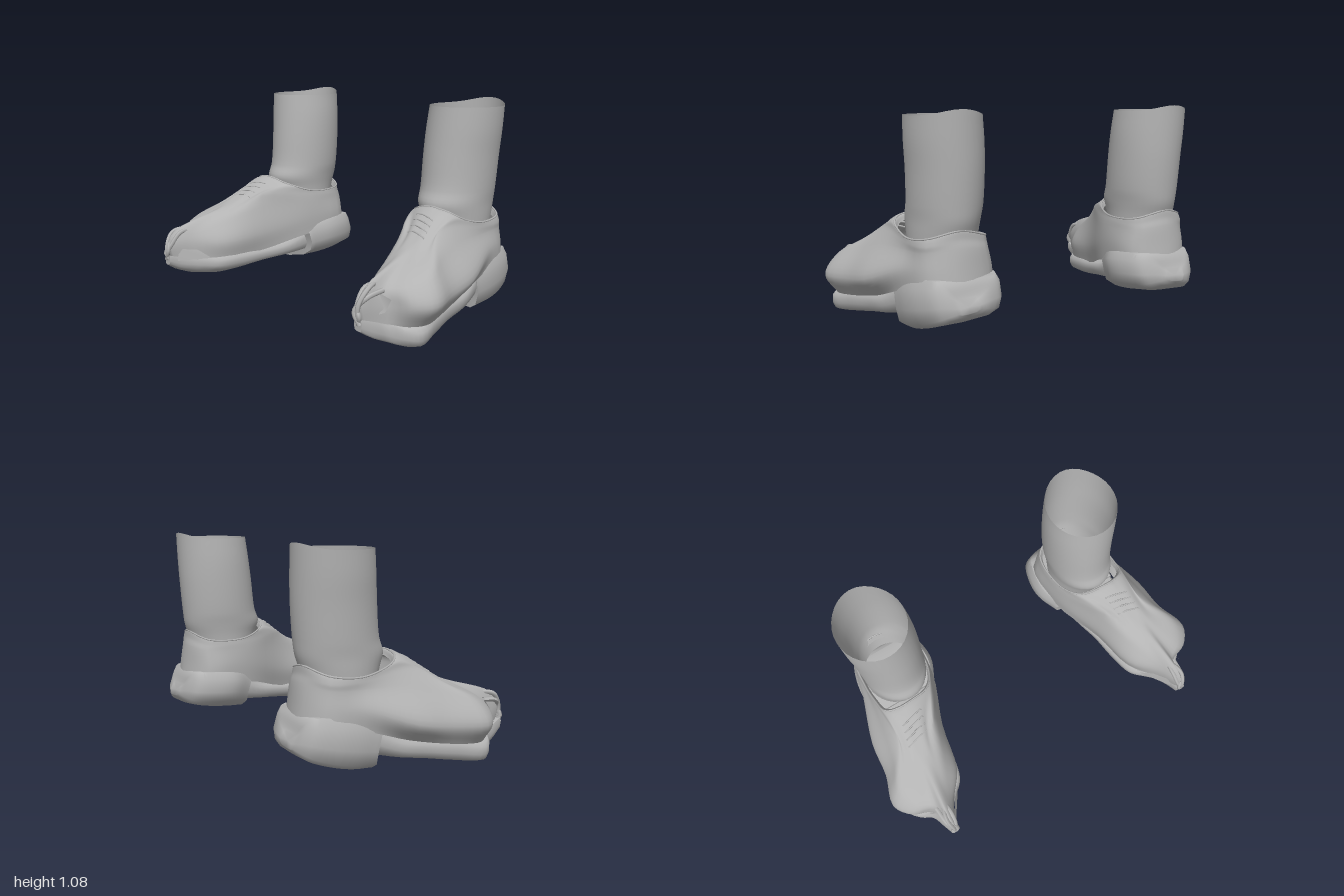
import * as THREE from 'three';
import { toCreasedNormals } from 'three/addons/utils/BufferGeometryUtils.js';

const V = (p) => new THREE.Vector3(...p);
const spline = (pts, closed = false) => new THREE.CatmullRomCurve3(pts, closed, 'centripetal');

// Skin a stack of closed rings, optionally smoothed along the stack and capped
function skin(rings, steps, caps = false) {
  const count = rings[0].length;
  const columns = rings[0].map((_, j) => spline(rings.map((r) => r[j])).getPoints(steps));
  const pos = [], idx = [];
  for (let i = 0; i <= steps; i++) columns.forEach((c) => pos.push(c[i].x, c[i].y, c[i].z));
  for (let i = 0; i < steps; i++) for (let j = 0; j < count; j++) {
    const a = i * count + j, b = i * count + (j + 1) % count;
    idx.push(a, a + count, b, b, a + count, b + count);
  }
  if (caps) for (const row of [0, steps]) {
    const mid = new THREE.Vector3();
    columns.forEach((c) => mid.addScaledVector(c[row], 1 / count));
    const m = pos.push(mid.x, mid.y, mid.z) / 3 - 1;
    for (let j = 0; j < count; j++) {
      const a = row * count + j, b = row * count + (j + 1) % count;
      if (row) idx.push(m, b, a); else idx.push(m, a, b);
    }
  }
  const g = new THREE.BufferGeometry();
  g.setAttribute('position', new THREE.Float32BufferAttribute(pos, 3));
  g.setIndex(idx);
  g.computeVertexNormals();
  return g;
}

// Mirror across x, keeping faces outward
function mirrored(g) {
  const m = g.clone().scale(-1, 1, 1);
  const a = m.index.array;
  for (let i = 0; i < a.length; i += 3) [a[i + 1], a[i + 2]] = [a[i + 2], a[i + 1]];
  m.computeVertexNormals();
  return m;
}

// Rings of the upper: heel, outer side, toe, inner side
const BOTTOM = [[.62, .22, -.555], [.77, .22, -.49], [.82, .22, -.3], [.85, .15, -.06], [.9, .11, .16], [.93, .1, .3], [.89, .1, .38], [.82, .11, .44],
  [.77, .13, .565], [.7, .12, .45], [.6, .12, .3], [.55, .14, .06], [.43, .22, -.22], [.43, .22, -.48]];
const WIDEST = [[.62, .33, -.54], [.77, .33, -.48], [.83, .32, -.3], [.92, .24, -.06], [.945, .21, .13], [.995, .2, .3], [.93, .2, .395], [.82, .2, .44],
  [.77, .22, .585], [.7, .22, .45], [.59, .22, .31], [.53, .25, .06], [.425, .32, -.22], [.43, .33, -.47]];
const SHOULDER = [[.62, .44, -.525], [.77, .42, -.46], [.8, .41, -.28], [.835, .4, -.05], [.87, .365, .12], [.925, .325, .265], [.88, .285, .38], [.8, .275, .435],
  [.77, .295, .53], [.71, .28, .43], [.64, .33, .28], [.55, .4, .06], [.43, .41, -.22], [.45, .42, -.47]];
const INSTEP = [[.62, .48, -.515], [.77, .45, -.46], [.795, .45, -.28], [.79, .48, -.06], [.79, .465, .06], [.8, .415, .14], [.775, .41, .18], [.75, .407, .195],
  [.72, .407, .2], [.68, .415, .18], [.635, .435, .12], [.56, .475, .05], [.437, .46, -.22], [.452, .45, -.46]];
const COLLAR = [[.62, .52, -.51], [.76, .485, -.45], [.79, .47, -.3], [.785, .495, -.17], [.775, .52, -.11], [.75, .54, -.08], [.72, .55, -.068], [.69, .555, -.062],
  [.66, .56, -.06], [.6, .555, -.065], [.53, .535, -.08], [.475, .51, -.13], [.437, .475, -.25], [.455, .48, -.45]];

// Sole stations: z, inner x, outer x, bottom y inner/outer, top y inner/outer
const SOLE = [[-.25, .47, .81, .1, .1, .24, .24], [-.1, .5, .85, .085, .065, .17, .16], [.05, .54, .87, .07, .04, .145, .135],
  [.2, .56, .91, .055, .015, .14, .12], [.34, .595, .945, .05, 0, .13, .095], [.41, .66, .895, .055, .015, .13, .1],
  [.45, .7, .84, .06, .03, .13, .11], [.52, .735, .815, .075, .06, .14, .135], [.585, .75, .795, .105, .1, .155, .155]];
const HEEL = [[-.605, .57, .67, .16, .15, .22, .22], [-.585, .49, .73, .14, .125, .28, .275], [-.55, .425, .775, .125, .1, .3, .3],
  [-.45, .385, .815, .115, .065, .3, .295], [-.34, .38, .83, .11, .04, .285, .28], [-.225, .43, .825, .09, .03, .245, .245]];

// Padded slab with a rounded underside; lean pulls its upper edge forward
function slab(stations, steps, lean) {
  const rings = stations.map(([z, xi, xo, bi, bo, ti, to]) => {
    const w = xo - xi;
    return [
      [xo - .05 * w, to, z + lean], [xo, to - .2 * (to - bo), z + lean * .7], [xo, to - .6 * (to - bo), z], [xo - .04 * w, bo + .1 * (to - bo), z],
      [xo - .12 * w, bo, z], [xo - .45 * w, bo + .1 * (bi - bo), z], [xi + .2 * w, bo + .6 * (bi - bo), z], [xi + .04 * w, bi + .1 * (ti - bi), z],
      [xi, ti - .6 * (ti - bi), z], [xi, ti - .2 * (ti - bi), z + lean * .7], [xi + .05 * w, ti, z + lean],
    ].map(V);
  });
  return skin(rings, steps, true);
}

// Leg levels: y, centre x, centre z, radius x, radius z
const LEG = [[.42, .61, -.3, .165, .18], [.5, .61, -.3, .168, .205], [.56, .607, -.3, .172, .224], [.63, .605, -.317, .178, .215],
  [.8, .608, -.333, .184, .211], [.93, .616, -.342, .188, .206], [1.05, .625, -.35, .185, .2]];
function legGeometry() {
  return skin(LEG.map(([y, cx, cz, rx, rz], i) => Array.from({ length: 32 }, (_, j) => {
    const a = j / 32 * Math.PI * 2;
    const rise = i === LEG.length - 1 ? .03 * Math.max(0, Math.cos(a)) ** 4 : 0;
    return V([cx + rx * Math.sin(a), y + rise, cz - rz * Math.cos(a)]);
  })), 24);
}

const tube = (pts, r, n = 16, closed = false) => new THREE.TubeGeometry(spline(pts, closed), n, r, 6, closed);

// Thin torn scrap of leather
function scrap(points) {
  const g = new THREE.BufferGeometry().setFromPoints(points.map(V));
  g.setIndex([0, 1, 2, 0, 2, 3]);
  g.computeVertexNormals();
  return g;
}

export function createModel() {
  const model = new THREE.Group();
  const grey = new THREE.MeshStandardMaterial({ color: 0xb3b3b3, side: THREE.DoubleSide });
  grey.name = 'plain grey';
  const parts = [];
  const add = (name, geometry, crease = 0) => parts.push({ name, geometry, crease });

  // Upper, with the lip turned in at the collar
  const collar = COLLAR.map(V);
  const lip = collar.map((p) => new THREE.Vector3(.61 + (p.x - .61) * .93, p.y - .03, -.3 + (p.z + .3) * .93));
  const rings = [...[BOTTOM, WIDEST, SHOULDER, INSTEP].map((r) => r.map(V)), collar, lip]
    .map((r) => spline(r, true).getPoints(56).slice(0, -1));
  const upper = skin(rings, 30);
  add('upper', upper);
  add('collarRim', tube(collar, .005, 56, true));
  add('leg', legGeometry());

  // Sole and heel
  add('sole', slab(SOLE, 32, 0), 1);
  add('heel', slab(HEEL, 25, .03), 1);

  // Laces sunk into the instep
  const probe = new THREE.Mesh(upper, grey);
  const ray = new THREE.Raycaster();
  for (let i = 0; i < 4; i++) {
    const pts = [0, .33, .67, 1].map((t) => {
      const x = .6 + i * .01 + t * .13, z = -.005 + i * .033 + t * .03;
      ray.set(V([x, 2, z]), V([0, -1, 0]));
      const hit = ray.intersectObject(probe)[0];
      return V([x, (hit ? hit.point.y : .45) - .001, z]);
    });
    add('lace', tube(pts, .005));
  }

  // Frayed toe seam and torn scraps
  const frays = [
    [[.74, .285, .43], [.765, .3, .47], [.785, .285, .54], [.775, .22, .585], [.77, .14, .585]],
    [[.75, .295, .44], [.745, .28, .52], [.76, .2, .58], [.785, .17, .59], [.76, .12, .57]],
    [[.8, .27, .45], [.79, .25, .55], [.755, .19, .59], [.785, .13, .585]],
  ];
  frays.forEach((f) => add('frayedSeam', tube(f.map(V), .012, 20)));
  add('tornFlap', scrap([[.77, .27, .48], [.78, .15, .52], [.82, .17, .455], [.85, .235, .45]]));
  add('tornFlap', scrap([[.74, .19, .53], [.68, .18, .44], [.63, .13, .38], [.74, .12, .54]]));

  for (const side of [1, -1]) {
    const shoe = new THREE.Group();
    shoe.name = side > 0 ? 'leftShoe' : 'rightShoe';
    for (const { name, geometry, crease } of parts) {
      let g = side > 0 ? geometry : mirrored(geometry);
      if (crease) g = toCreasedNormals(g, crease);
      const mesh = new THREE.Mesh(g, grey);
      mesh.name = name;
      shoe.add(mesh);
    }
    model.add(shoe);
  }
  return model;
}
